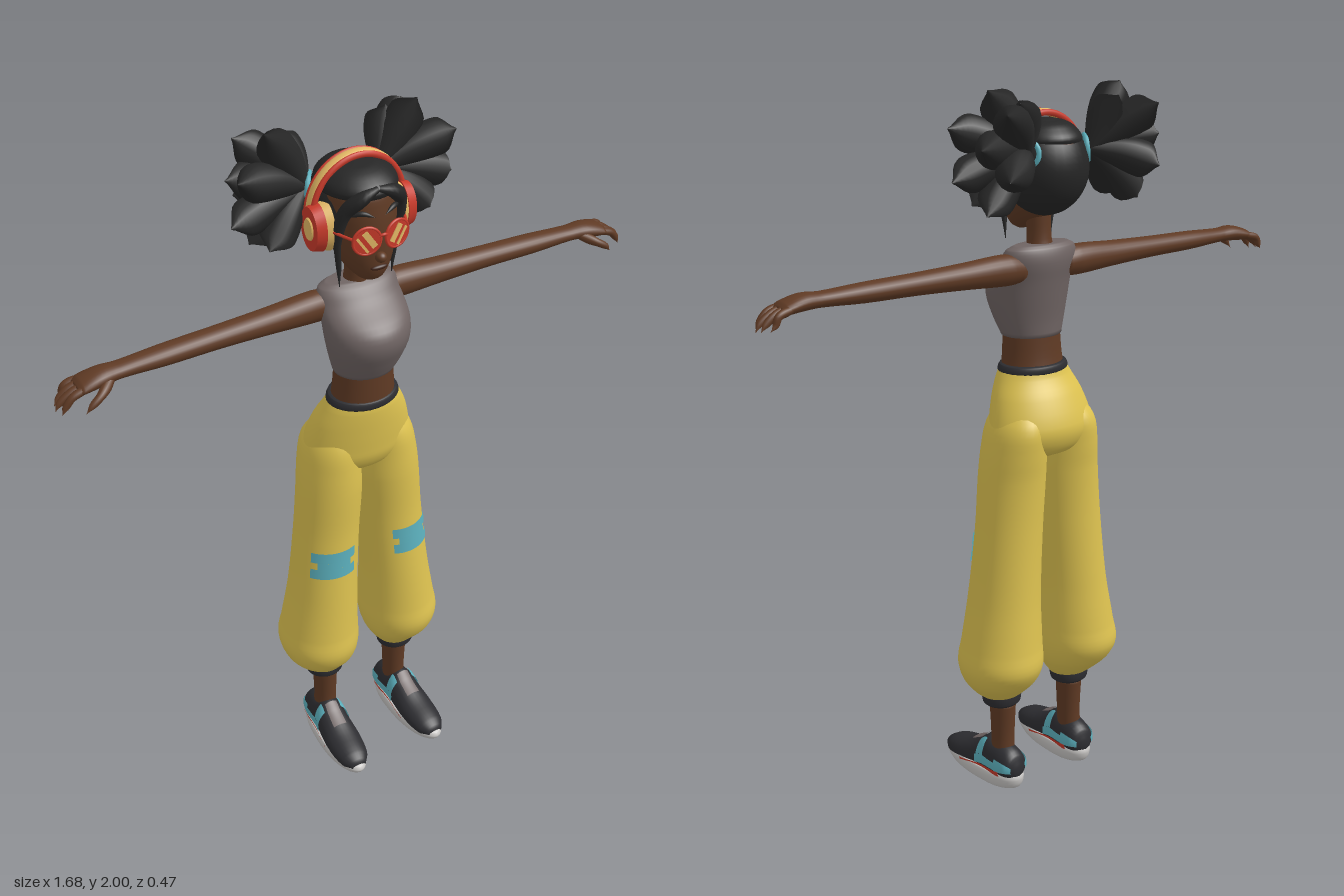
import * as THREE from 'three';

const mat = (name, color, side = THREE.FrontSide) => {
  const m = new THREE.MeshStandardMaterial({ color, side });
  m.name = name;
  return m;
};
const V = (p) => new THREE.Vector3(...p);
const rad = THREE.MathUtils.degToRad;

// Smoothly interpolated cross-section [s, cx, cz, rx, rz] at position s
function sectionAt(secs, s) {
  let i = 0;
  while (i < secs.length - 2 && s > secs[i + 1][0]) i++;
  const h = secs[i + 1][0] - secs[i][0], t = (s - secs[i][0]) / h;
  const slope = (j, k) => {
    const a = secs[Math.max(0, j - 1)], b = secs[Math.min(secs.length - 1, j + 1)];
    return (b[k] - a[k]) / (b[0] - a[0]);
  };
  return [1, 2, 3, 4].map((k) => {
    const p = secs[i][k], q = secs[i + 1][k], t2 = t * t, t3 = t2 * t;
    return p * (2 * t3 - 3 * t2 + 1) + q * (3 * t2 - 2 * t3)
      + h * (slope(i, k) * (t3 - 2 * t2 + t) + slope(i + 1, k) * (t3 - t2));
  });
}

// Surface of rings along y; closed and capped when it spans the full turn
function surface(secs, stops, a0, a1, n, off, closed) {
  const pos = [], idx = [], cols = closed ? n : n + 1;
  for (const s of stops) {
    const [cx, cz, rx, rz] = sectionAt(secs, s);
    for (let j = 0; j < cols; j++) {
      const a = a0 + (a1 - a0) * j / n;
      pos.push(cx + (rx + off) * Math.cos(a), s, cz + (rz + off) * Math.sin(a));
    }
  }
  const rows = stops.length;
  for (let i = 0; i < rows - 1; i++) for (let j = 0; j < n; j++) {
    const k = (j + 1) % cols, a = i * cols + j, b = i * cols + k;
    idx.push(a, a + cols, b, b, a + cols, b + cols);
  }
  if (closed) for (const i of [0, rows - 1]) {
    const [cx, cz] = sectionAt(secs, stops[i]), c = pos.length / 3;
    pos.push(cx, stops[i], cz);
    for (let j = 0; j < n; j++) {
      const a = i * cols + j, b = i * cols + (j + 1) % n;
      if (i) idx.push(c, b, a); else idx.push(c, a, b);
    }
  }
  const g = new THREE.BufferGeometry();
  g.setAttribute('position', new THREE.Float32BufferAttribute(pos, 3));
  g.setIndex(idx);
  g.computeVertexNormals();
  return g;
}
function loft(secs, n = 32, sub = 4) {
  const stops = [secs[0][0]];
  for (let i = 1; i < secs.length; i++) for (let k = 1; k <= sub; k++)
    stops.push(secs[i - 1][0] + (secs[i][0] - secs[i - 1][0]) * k / sub);
  return surface(secs, stops, 0, Math.PI * 2, n, 0, true);
}
function patch(secs, s0, s1, d0, d1, off = 0.004) {
  const stops = Array.from({ length: 7 }, (_, i) => s0 + (s1 - s0) * i / 6);
  return surface(secs, stops, rad(d0), rad(d1), 12, off, false);
}

// Tapered tube through points, with radii spread along its length
function limb(points, radii, n = 12, steps = 18) {
  const path = new THREE.CatmullRomCurve3(points.map(V));
  const rCurve = new THREE.SplineCurve(radii.map((r, i) => new THREE.Vector2(i, r)));
  const g = new THREE.TubeGeometry(path, steps, 1, n), p = g.attributes.position, v = new THREE.Vector3();
  for (let i = 0; i <= steps; i++) {
    const c = path.getPointAt(i / steps), r = Math.max(0.0005, rCurve.getPoint(i / steps).y);
    for (let j = 0; j <= n; j++) {
      const k = i * (n + 1) + j;
      v.fromBufferAttribute(p, k).sub(c).multiplyScalar(r).add(c);
      p.setXYZ(k, v.x, v.y, v.z);
    }
  }
  return g;
}
const ball = (x, y, z, rx, ry, rz) => new THREE.SphereGeometry(1, 32, 24).scale(rx, ry, rz).translate(x, y, z);

function mirrored(geo) {
  const g = geo.clone().scale(-1, 1, 1), ix = g.index.array;
  for (let i = 0; i < ix.length; i += 3) [ix[i + 1], ix[i + 2]] = [ix[i + 2], ix[i + 1]];
  return g;
}

export function createModel() {
  const model = new THREE.Group();
  const skin = mat('brown skin', 0x5f3a24), lip = mat('dark lip', 0x3f2318);
  const hair = mat('black hair', 0x262626), charcoal = mat('charcoal', 0x2d2d31);
  const grey = mat('grey cloth', 0x6f6463), yellow = mat('yellow cloth', 0xddc250);
  const teal = mat('teal', 0x5cb0bd, THREE.DoubleSide), red = mat('red', 0xc83a2a, THREE.DoubleSide);
  const cream = mat('golden cream', 0xe3b865), white = mat('sole white', 0xc6c4c2);
  const add = (name, geo, m) => {
    const mesh = new THREE.Mesh(geo, m);
    mesh.name = name;
    model.add(mesh);
  };
  const both = (name, geo, m) => {
    add('left ' + name, geo, m);
    add('right ' + name, mirrored(geo), m);
  };

  // Trousers: hips, balloon legs, waistband, cuffs, knee tape
  add('hips', loft([[1.0, 0, -0.03, 0.05, 0.04], [1.02, 0, -0.03, 0.125, 0.08], [1.06, 0, -0.03, 0.16, 0.104],
    [1.1, 0, -0.028, 0.158, 0.108], [1.17, 0, -0.012, 0.138, 0.097], [1.22, 0, 0.003, 0.114, 0.083],
    [1.245, 0, 0.006, 0.1, 0.077]], 48), yellow);
  const leg = [[0.285, 0.125, -0.005, 0.055, 0.05], [0.31, 0.13, -0.01, 0.08, 0.075], [0.35, 0.135, -0.015, 0.106, 0.11],
    [0.4, 0.137, -0.02, 0.117, 0.13], [0.46, 0.132, -0.02, 0.112, 0.122], [0.6, 0.12, -0.018, 0.1, 0.108],
    [0.8, 0.104, -0.02, 0.094, 0.096], [0.95, 0.093, -0.02, 0.092, 0.098], [1.03, 0.09, -0.025, 0.085, 0.1],
    [1.1, 0.085, -0.028, 0.073, 0.095], [1.16, 0.07, -0.02, 0.05, 0.06]];
  both('trouser leg', loft(leg, 40), yellow);
  both('knee tape top', patch(leg, 0.742, 0.775, 36, 116), teal);
  both('knee tape middle', patch(leg, 0.72, 0.742, 48, 106), teal);
  both('knee tape bottom', patch(leg, 0.688, 0.72, 36, 116), teal);
  add('waistband', loft([[1.232, 0, 0.006, 0.1, 0.078], [1.24, 0, 0.006, 0.104, 0.082], [1.255, 0, 0.006, 0.098, 0.08],
    [1.258, 0, 0.006, 0.09, 0.074]]), charcoal);
  both('cuff', loft([[0.258, 0.125, -0.008, 0.048, 0.045], [0.266, 0.125, -0.008, 0.056, 0.052],
    [0.295, 0.125, -0.008, 0.058, 0.053], [0.305, 0.125, -0.008, 0.05, 0.045]]), charcoal);
  both('ankle', loft([[0.08, 0.125, -0.012, 0.033, 0.038], [0.16, 0.123, -0.01, 0.033, 0.036],
    [0.28, 0.123, -0.01, 0.038, 0.042]]), skin);

  // Shoes, lofted from heel to toe
  const upper = [[-0.087, 0, -0.06, 0.012, 0.015], [-0.075, 0, -0.07, 0.036, 0.038], [-0.04, 0, -0.07, 0.046, 0.058],
    [0.0, 0, -0.07, 0.047, 0.064], [0.03, 0, -0.07, 0.047, 0.073], [0.06, 0, -0.062, 0.05, 0.058],
    [0.12, 0, -0.05, 0.054, 0.042], [0.19, 0, -0.042, 0.045, 0.03], [0.222, 0, -0.04, 0.024, 0.014]];
  const shoe = (g) => g.rotateX(Math.PI / 2).rotateY(0.04).translate(0.128, 0, 0);
  both('shoe upper', shoe(loft(upper, 28)), charcoal);
  both('shoe tongue', shoe(patch(upper, 0.035, 0.1, -112, -68)), grey);
  for (const [side, f] of [['outer', (a, b) => [a, b]], ['inner', (a, b) => [180 - b, 180 - a]]]) {
    both(side + ' heel panel', shoe(patch(upper, -0.082, -0.03, ...f(-22, 12))), teal);
    both(side + ' quarter panel', shoe(patch(upper, -0.03, 0.055, ...f(-12, 10))), teal);
    both(side + ' lace panel', shoe(patch(upper, 0.022, 0.05, ...f(-58, -12))), teal);
    both(side + ' red stripe', shoe(patch(upper, -0.05, 0.12, ...f(10, 26), 0.006)), red);
  }
  const sole = loft([[0, 0, 0.065, 0.046, 0.13], [0.008, 0, 0.068, 0.054, 0.15], [0.03, 0, 0.072, 0.059, 0.163],
    [0.044, 0, 0.072, 0.056, 0.158], [0.048, 0, 0.072, 0.05, 0.15]], 40);
  const sp = sole.attributes.position;
  for (let i = 0; i < sp.count; i++) { // square the heel, keep the toe round
    const z = sp.getZ(i);
    sp.setX(i, sp.getX(i) * (z < 0.03 ? 1 + (0.03 - z) * 1.6 : 1));
    sp.setY(i, sp.getY(i) * (1 - (z - 0.07) * 0.7));
  }
  sole.computeVertexNormals();
  both('shoe sole', sole.rotateY(0.04).translate(0.128, 0, 0), white);

  // Torso
  add('waist', loft([[1.22, 0, 0.005, 0.094, 0.078], [1.28, 0, 0.01, 0.087, 0.072], [1.36, 0, 0.012, 0.082, 0.068]]), skin);
  add('cropped top', loft([[1.335, 0, 0.013, 0.086, 0.076], [1.38, 0, 0.024, 0.101, 0.089], [1.44, 0, 0.032, 0.115, 0.104],
    [1.49, 0, 0.022, 0.119, 0.1], [1.54, 0, -0.014, 0.117, 0.07], [1.575, 0, -0.027, 0.11, 0.05],
    [1.588, 0, -0.03, 0.085, 0.034]], 48), grey);
  add('neck', loft([[1.55, 0, -0.03, 0.045, 0.038], [1.6, 0, -0.022, 0.034, 0.032], [1.68, 0, -0.018, 0.035, 0.034]]), skin);

  // Arms and hands
  both('arm', loft([[0.07, -1.525, -0.03, 0.036, 0.036], [0.12, -1.528, -0.03, 0.042, 0.04], [0.25, -1.528, -0.027, 0.035, 0.037],
    [0.4, -1.528, -0.024, 0.029, 0.034], [0.55, -1.527, -0.02, 0.026, 0.033], [0.67, -1.527, -0.016, 0.02, 0.029],
    [0.72, -1.527, -0.013, 0.022, 0.035], [0.77, -1.519, -0.013, 0.017, 0.039], [0.785, -1.514, -0.013, 0.01, 0.034]], 24)
    .rotateZ(-Math.PI / 2), skin);
  [0.012, -0.006, -0.024, -0.042].forEach((z, i) => {
    const reach = [0.832, 0.842, 0.838, 0.822][i];
    both('finger ' + (i + 1), limb([[0.76, 1.52, z], [0.8, 1.508, z * 1.1], [reach - 0.012, 1.487, z * 1.1],
      [reach, 1.465 + i * 0.003, z * 1.05]], [0.009, 0.011, 0.01, 0.009, 0], 10), skin);
  });
  both('thumb', limb([[0.7, 1.522, 0.005], [0.735, 1.505, 0.034], [0.765, 1.487, 0.042], [0.782, 1.468, 0.04]],
    [0.012, 0.014, 0.011, 0.009, 0], 10), skin);

  // Head and face
  const head = [[1.618, 0, 0.05, 0.014, 0.012], [1.63, 0, 0.043, 0.036, 0.035], [1.66, 0, 0.02, 0.061, 0.07],
    [1.7, 0, 0, 0.08, 0.094], [1.76, 0, -0.02, 0.092, 0.115], [1.82, 0, -0.03, 0.1, 0.12],
    [1.87, 0, -0.03, 0.09, 0.106], [1.9, 0, -0.03, 0.05, 0.06]];
  add('head', loft(head, 40), skin);
  add('nose', ball(0, 1.699, 0.097, 0.015, 0.014, 0.016), skin);
  add('lips', ball(0, 1.667, 0.089, 0.024, 0.007, 0.009), lip);
  both('brow', limb([[0.014, 1.81, 0.094], [0.045, 1.822, 0.082], [0.075, 1.81, 0.056]], [0, 0.006, 0.006, 0], 8), hair);

  // Hair: cap, fringe, face locks, bunches of rounded curls
  add('hair cap', ball(0, 1.79, -0.045, 0.118, 0.127, 0.116), hair);
  add('fringe', loft([[1.852, 0, -0.028, 0.1, 0.114], [1.868, 0, -0.028, 0.101, 0.118], [1.888, 0, -0.03, 0.088, 0.1],
    [1.908, 0, -0.035, 0.055, 0.062], [1.914, 0, -0.035, 0.01, 0.012]]), hair);
  both('face lock', limb([[0, 1.878, 0.082], [0.045, 1.862, 0.082], [0.078, 1.82, 0.055], [0.088, 1.74, 0.035],
    [0.08, 1.66, 0.026], [0.077, 1.6, 0.024]], [0.008, 0.02, 0.018, 0.014, 0.009, 0.007, 0.001], 10, 28), hair);
  const knot = [0.105, 1.835, -0.1];
  const tips = [[0.215, 2.0, -0.09], [0.245, 1.95, -0.21], [0.31, 1.91, -0.05], [0.29, 1.865, -0.165],
    [0.32, 1.78, -0.08], [0.245, 1.79, -0.22], [0.25, 1.695, -0.13], [0.235, 1.71, -0.045], [0.16, 1.97, -0.15]];
  tips.forEach((tip, i) => {
    const mid = tip.map((c, k) => (c + knot[k]) / 2 + (k === 1 ? 0.008 : 0));
    both('curl ' + (i + 1), limb([knot, mid, tip], [0.018, 0.026, 0.036, 0.044, 0.048, 0.043, 0.001], 16, 24), hair);
  });
  const tie = new THREE.TorusGeometry(0.034, 0.007, 10, 28);
  tie.applyQuaternion(new THREE.Quaternion().setFromUnitVectors(V([0, 0, 1]), V([0.8, 0.1, -0.5]).normalize()));
  both('hair tie', tie.translate(0.098, 1.835, -0.094), teal);

  // Headphones
  const band = (tube, flat, z) => new THREE.TorusGeometry(0.13, tube, 12, 48, Math.PI)
    .scale(1, 1.06, flat).translate(0, 1.79, z);
  add('headband', band(0.009, 1.8, -0.028), cream);
  add('headband front trim', band(0.008, 0.8, -0.012), red);
  add('headband back trim', band(0.008, 0.8, -0.044), red);
  const disc = (r, h, x) => new THREE.CylinderGeometry(r * 0.88, r, h, 32).rotateZ(-Math.PI / 2)
    .scale(1, 1, 0.74).translate(x, 1.766, -0.008);
  both('ear cushion', disc(0.069, 0.022, 0.107), cream);
  both('ear cup', disc(0.066, 0.026, 0.13), red);
  both('ear cup inset', disc(0.032, 0.006, 0.144), cream);

  // Round glasses with slanted glints
  const place = (g) => g.rotateY(0.2).translate(0.043, 1.757, 0.102);
  both('lens', place(new THREE.CylinderGeometry(0.035, 0.035, 0.006, 32).rotateX(Math.PI / 2)), red);
  both('lens rim', place(new THREE.TorusGeometry(0.036, 0.004, 8, 36)), red);
  for (const [x, w] of [[-0.008, 0.016], [0.015, 0.007]])
    both('lens glint', place(new THREE.BoxGeometry(w, 0.05, 0.003).translate(x, 0, 0.004).rotateZ(-0.6)), cream);
  add('glasses bridge', limb([[-0.012, 1.765, 0.108], [0, 1.769, 0.112], [0.012, 1.765, 0.108]], [0.004, 0.004], 8), red);
  both('glasses arm', limb([[0.077, 1.765, 0.095], [0.1, 1.768, 0.04], [0.108, 1.77, 0]], [0.004, 0.004], 8), red);

  return model;
}
